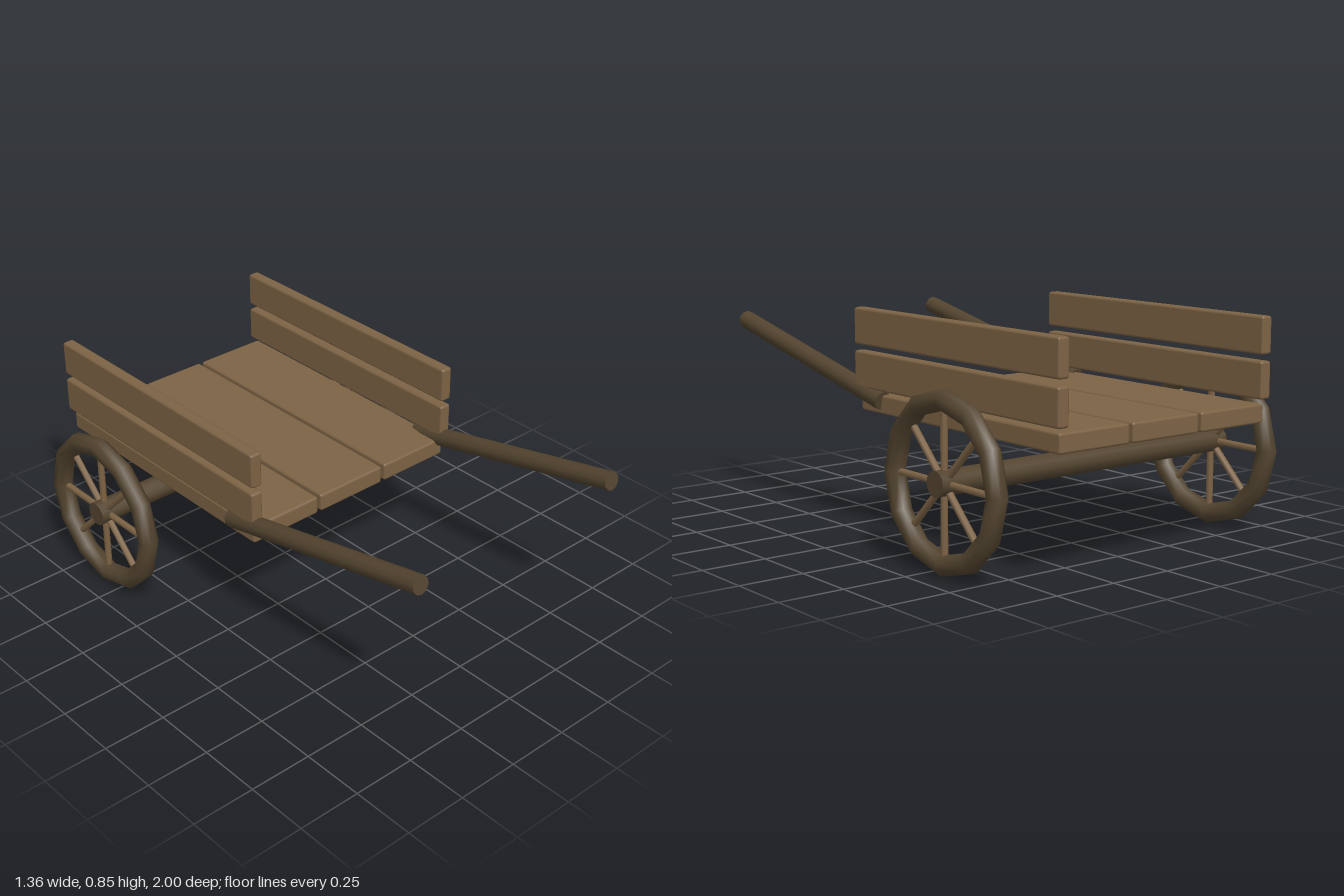
import * as THREE from 'three';
import { mergeVertices } from 'three/addons/utils/BufferGeometryUtils.js';
import { RoundedBoxGeometry } from 'three/addons/geometries/RoundedBoxGeometry.js';

const plankWood = new THREE.MeshStandardMaterial({ color: 0x7d6345 });
plankWood.name = 'plank wood';
const darkWood = new THREE.MeshStandardMaterial({ color: 0x53442f });
darkWood.name = 'dark wood';

function add(parent, name, geometry, material, x = 0, y = 0, z = 0) {
  const mesh = new THREE.Mesh(geometry, material);
  mesh.name = name;
  mesh.position.set(x, y, z);
  parent.add(mesh);
  return mesh;
}

// Twelve-sided rim with an octagonal section, turned about the x axis
function rimGeometry(radius, tube) {
  const profile = [];
  for (let i = 0; i <= 8; i++) {
    const a = ((i + 0.5) * Math.PI) / 4;
    profile.push(new THREE.Vector2(radius + tube * Math.cos(a), tube * Math.sin(a)));
  }
  let geometry = new THREE.LatheGeometry(profile, 12);
  geometry.deleteAttribute('uv');
  geometry.deleteAttribute('normal');
  geometry = mergeVertices(geometry, 1e-4);
  geometry.computeVertexNormals();
  return geometry.rotateZ(Math.PI / 2);
}

function createWheel() {
  const wheel = new THREE.Group();
  add(wheel, 'rim', rimGeometry(0.286, 0.039), darkWood);
  // Four bars through the hub make eight spokes
  for (let i = 0; i < 4; i++) {
    const spoke = add(wheel, 'spokePair', new THREE.CylinderGeometry(0.013, 0.013, 0.55, 8), plankWood);
    spoke.rotation.x = (i * Math.PI) / 4;
  }
  return wheel;
}

export function createModel() {
  const cart = new THREE.Group();
  cart.name = 'handcart';

  // Floor of three planks
  for (const x of [-0.325, 0, 0.325]) {
    add(cart, 'floorPlank', new RoundedBoxGeometry(0.311, 0.072, 1.135, 1, 0.01), plankWood, x, 0.5, -0.418);
  }

  // Axle
  const axle = new THREE.CylinderGeometry(0.047, 0.047, 1.36, 12).rotateZ(Math.PI / 2);
  add(cart, 'axle', axle, darkWood, 0, 0.327, -0.577);

  // Handle ends
  const front = new THREE.Vector3(0, 0.73, 0.993);
  const back = new THREE.Vector3(0, 0.513, 0.017);
  const along = front.clone().sub(back);
  const middle = front.clone().add(back).multiplyScalar(0.5);

  for (const side of [-1, 1]) {
    // Two boards on each side
    for (const y of [0.621, 0.782]) {
      add(cart, 'sideBoard', new RoundedBoxGeometry(0.048, 0.138, 1.168, 1, 0.01), plankWood, side * 0.475, y, -0.416);
    }

    const handle = add(cart, 'handle', new THREE.CylinderGeometry(0.036, 0.036, along.length(), 10), darkWood,
      side * 0.475, middle.y, middle.z);
    handle.quaternion.setFromUnitVectors(new THREE.Vector3(0, 1, 0), along.clone().normalize());

    const wheel = createWheel();
    wheel.name = side > 0 ? 'leftWheel' : 'rightWheel';
    wheel.position.set(side * 0.64, 0.325, -0.577);
    cart.add(wheel);
  }
  return cart;
}
